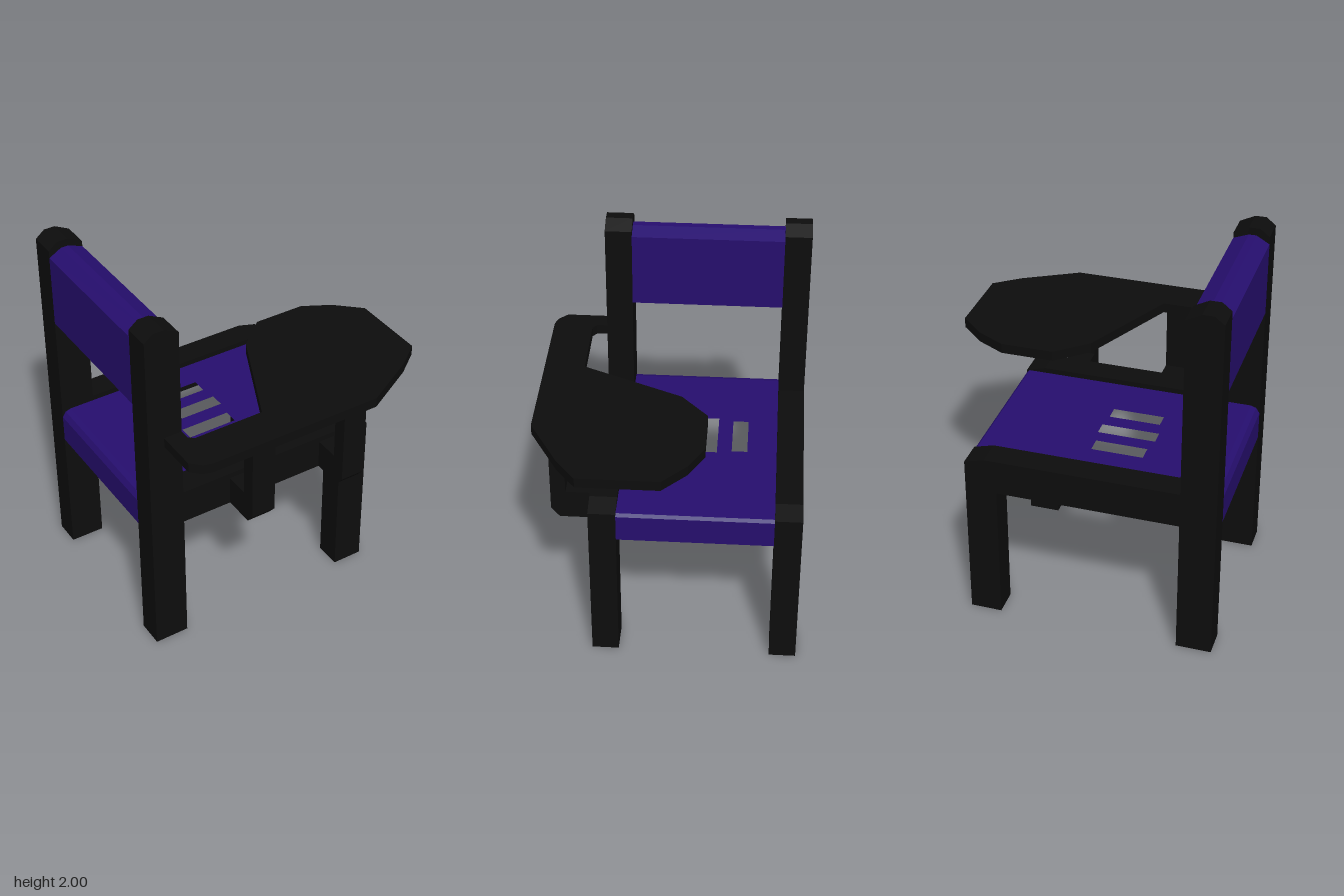
import * as THREE from 'three';

const black = new THREE.MeshStandardMaterial({ color: 0x0d0d0d });
black.name = 'black frame';
const purple = new THREE.MeshStandardMaterial({ color: 0x260e6e });
purple.name = 'purple panel';

const toShape = (pts) => new THREE.Shape(pts.map(([x, y]) => new THREE.Vector2(x, y)));
const extrude = (shape, depth) => new THREE.ExtrudeGeometry(shape, { depth, bevelEnabled: false });

// Profile in x,y extruded from z0 to z1
const alongZ = (pts, z0, z1) => extrude(toShape(pts), z1 - z0).translate(0, 0, z0);

// Profile in z,y extruded from x0 to x1
const alongX = (pts, x0, x1) => extrude(toShape(pts), x1 - x0).rotateY(-Math.PI / 2).translate(x1, 0, 0);

// Outline in x,z (with optional holes) extruded from y0 to y1
function plate(pts, y0, y1, holes = []) {
  const flip = (list) => list.map(([x, z]) => [x, -z]);
  const shape = toShape(flip(pts));
  for (const h of holes) shape.holes.push(toShape(flip(h)));
  return extrude(shape, y1 - y0).rotateX(-Math.PI / 2).translate(0, y0, 0);
}

const rect = (x0, x1, z0, z1) => [[x0, z0], [x1, z0], [x1, z1], [x0, z1]];

export function createModel() {
  const group = new THREE.Group();
  const add = (name, geometry, material) => {
    const mesh = new THREE.Mesh(geometry, material);
    mesh.name = name;
    group.add(mesh);
  };

  const zIn = [-0.56, 0.265];

  // Side frames: tall back leg, rail and front leg in one piece
  const frame = [
    [-0.8, 0], [-0.61, 0], [-0.61, 0.775], [0.37, 0.775], [0.37, 0], [0.54, 0],
    [0.54, 0.94], [0.43, 0.97], [-0.61, 0.97], [-0.61, 1.96], [-0.69, 2], [-0.75, 2], [-0.8, 1.96],
  ];
  add('sideFrameNear', alongZ(frame, 0.265, 0.41), black);
  add('sideFrameFar', alongZ(frame, -0.705, -0.56), black);

  // Backrest between the tall legs
  const back = [[-0.8, 1.52], [-0.61, 1.52], [-0.61, 1.93], [-0.69, 1.96], [-0.73, 1.96], [-0.8, 1.92]];
  add('backrest', alongZ(back, ...zIn), purple);

  // Seat sheet with three slots
  const slots = [
    rect(-0.33, -0.05, -0.4, -0.315),
    rect(-0.35, -0.035, -0.235, -0.155),
    rect(-0.33, -0.05, -0.07, 0.01),
  ];
  add('seat', plate(rect(-0.75, 0.5, ...zIn), 0.905, 0.94, slots), purple);

  // Turned-down front and rear edges of the seat
  const frontLip = [[0.5, 0.94], [0.5, 0.775], [0.54, 0.775], [0.54, 0.925], [0.525, 0.94]];
  const rearLip = [[-0.75, 0.94], [-0.78, 0.93], [-0.8, 0.9], [-0.8, 0.745], [-0.76, 0.745], [-0.75, 0.88]];
  add('seatFrontLip', alongZ(frontLip, ...zIn), purple);
  add('seatRearLip', alongZ(rearLip, ...zIn), purple);

  // Writing tablet with its arm
  const tablet = [
    [-0.71, 0.4], [-0.71, 0.64], [-0.66, 0.69], [-0.61, 0.705], [0.365, 0.705], [0.66, 0.54],
    [0.795, 0.435], [0.795, 0.01], [0.66, -0.115], [0.51, -0.195], [0.225, -0.195], [0.06, -0.05],
    [-0.19, 0.49], [-0.58, 0.49], [-0.61, 0.465], [-0.61, 0.4],
  ];
  add('writingTablet', plate(tablet, 1.31, 1.365), black);

  // L-shaped tablet supports bolted to the rail
  const support = [[0.4, 0.775], [0.58, 0.775], [0.625, 0.83], [0.625, 1.315], [0.545, 1.315], [0.545, 0.94], [0.4, 0.94]];
  for (const x of [-0.33, 0.23]) add('tabletSupport', alongX(support, x, x + 0.135), black);

  return group;
}
